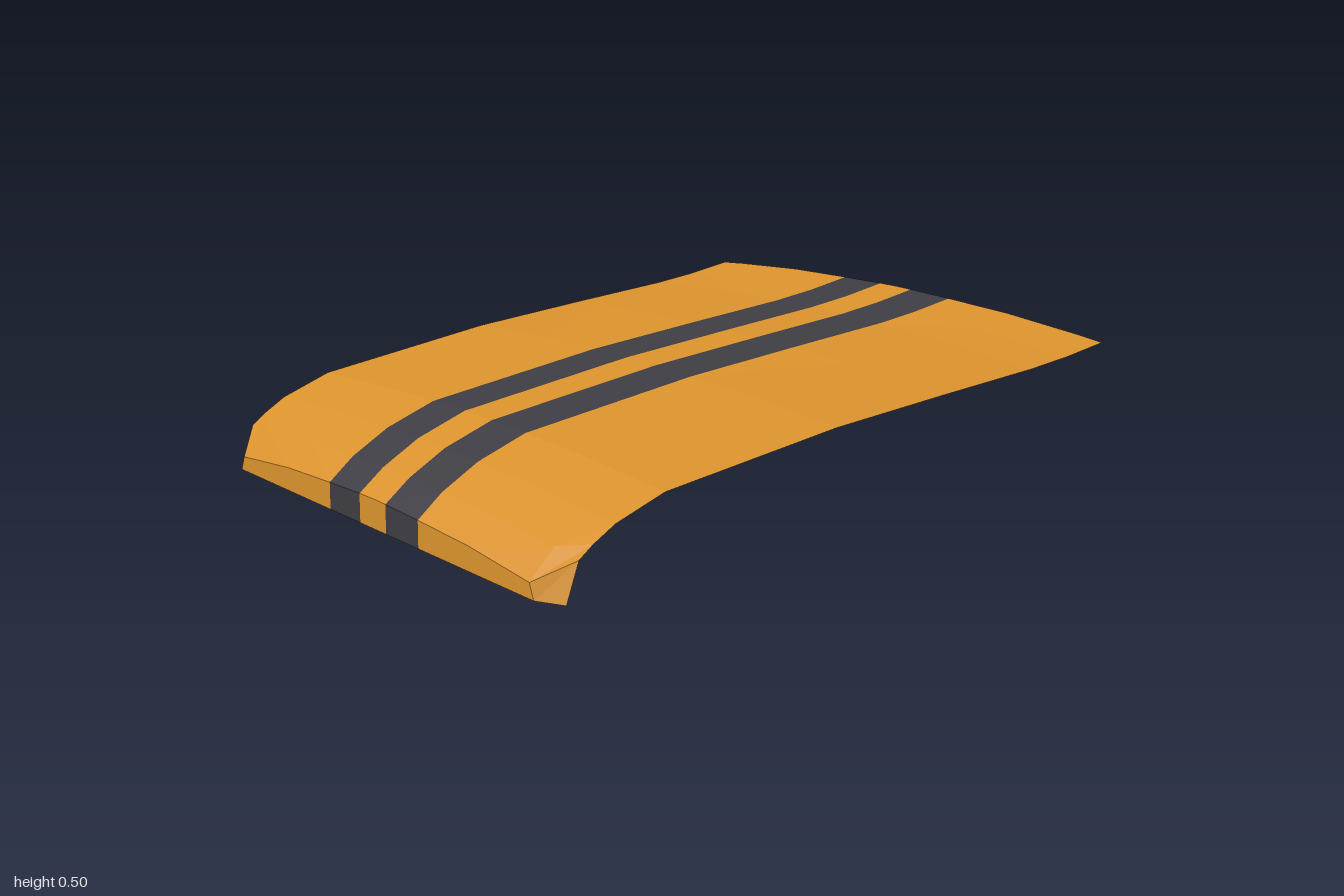
import * as THREE from 'three';

// Centre line from rear edge to bottom of front lip: z, y, crown scale
const rows = [
  [-1, 0.5, 1], [-0.85, 0.472, 0.95], [-0.7, 0.451, 0.9], [-0.35, 0.416, 0.82],
  [0.05, 0.374, 0.75], [0.64, 0.285, 0.76], [0.8, 0.225, 0.76], [0.92, 0.155, 0.8],
  [1, 0.09, 1.36], [1, 0, 0],
];
// Half cross-section: x, drop below the centre line
const half = [[0, 0], [0.075, 0.001], [0.255, 0.005], [0.52, 0.013], [0.82, 0.033], [0.925, 0.042]];
const cols = [...half.slice(1).reverse().map(([x, d]) => [-x, d]), ...half];
// Outer edge is pulled back on the last three rows to chamfer the front corners: z, y
const corner = { 7: [0.87, 0.15], 8: [0.915, 0.115], 9: [0.955, 0] };

function point(i, j) {
  const [z, y, crown] = rows[i];
  let [x, drop] = cols[j];
  const outer = j === 0 || j === cols.length - 1;
  if (outer && corner[i]) return [x, corner[i][1], corner[i][0]];
  if (i === rows.length - 1 && Math.abs(x) === 0.82) x = Math.sign(x) * 0.84;
  return [x, y - drop * crown, z];
}

// Strip of the panel covering columns j0..j1
function strip(name, j0, j1, material) {
  const pos = [];
  for (let j = j0; j < j1; j++) {
    for (let i = 0; i < rows.length - 1; i++) {
      const a = point(i, j), b = point(i, j + 1);
      const c = point(i + 1, j), d = point(i + 1, j + 1);
      // Mirror the diagonals so both corners fold alike
      const tris = cols[j][0] >= 0 ? [a, c, b, b, c, d] : [a, c, d, a, d, b];
      pos.push(...tris.flat());
    }
  }
  const g = new THREE.BufferGeometry();
  g.setAttribute('position', new THREE.Float32BufferAttribute(pos, 3));
  g.computeVertexNormals();
  const mesh = new THREE.Mesh(g, material);
  mesh.name = name;
  return mesh;
}

export function createModel() {
  const paint = new THREE.MeshStandardMaterial({ color: 0xd8902c, flatShading: true, side: THREE.DoubleSide });
  const dark = new THREE.MeshStandardMaterial({ color: 0x3c3c42, flatShading: true, side: THREE.DoubleSide });
  const hood = new THREE.Group();
  hood.name = 'hood';
  hood.add(
    strip('rightPanel', 0, 3, paint),
    strip('rightStripe', 3, 4, dark),
    strip('centrePanel', 4, 6, paint),
    strip('leftStripe', 6, 7, dark),
    strip('leftPanel', 7, 10, paint),
  );
  return hood;
}
